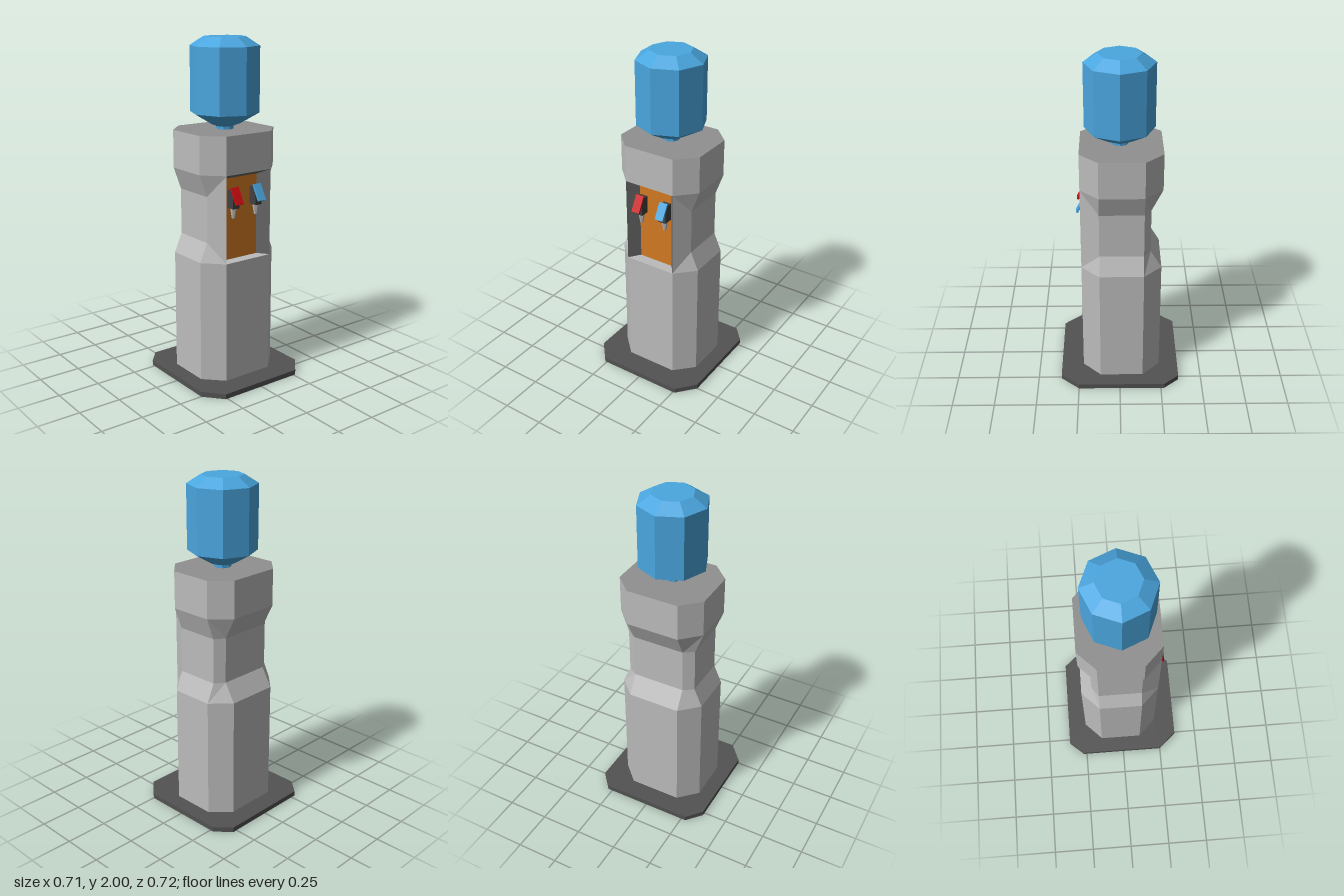
import * as THREE from 'three';

const mat = (name, color, double = false) => {
  const m = new THREE.MeshStandardMaterial({ color, flatShading: true });
  m.name = name;
  if (double) m.side = THREE.DoubleSide;
  return m;
};

// Chamfered rectangle outline, from the front left corner round to the back
const outline = (front, back, side, zf, zsf, zsb, zb) => {
  const half = [[front, zf], [side, zsf], [side, zsb], [back, zb]];
  return [...half, ...half.map(([x, z]) => [-x, z]).reverse()];
};

const fromTriangles = (points) => {
  const g = new THREE.BufferGeometry();
  g.setAttribute('position', new THREE.Float32BufferAttribute(points.flat(), 3));
  g.computeVertexNormals();
  return g;
};

const quad = (a, b, c, d) => fromTriangles([a, b, c, a, c, d]);

export function createModel() {
  const group = new THREE.Group();
  const grey = mat('casing grey', 0xbcbcbc, true);
  const lid = mat('lid grey', 0x909090, true);
  const recess = mat('recess grey', 0x686868, true);
  const orange = mat('panel orange', 0xd27a22, true);
  const blue = mat('bottle blue', 0x4aa6df);
  const red = mat('hot red', 0xcc0c10);
  const dark = mat('tap dark grey', 0x404040);
  const baseMat = mat('base dark grey', 0x525252);

  const add = (name, geometry, material, parent = group) => {
    const m = new THREE.Mesh(geometry, material);
    m.name = name;
    parent.add(m);
    return m;
  };

  // Casing: wide octagon with a waist; the front stays open at the recess
  const wide = outline(0.157, 0.157, 0.263, 0.225, 0.118, -0.14, -0.245);
  const waist = outline(0.157, 0.157, 0.215, 0.225, 0.118, -0.14, -0.18);
  const levels = [[0, wide], [0.75, wide], [0.86, waist], [1.13, waist], [1.26, wide], [1.48, wide]];
  const tris = [];
  for (let k = 0; k < levels.length - 1; k++) {
    const [y0, lo] = levels[k], [y1, hi] = levels[k + 1];
    for (let i = 0; i < 8; i++) {
      if (i === 7 && k > 0 && k < 4) continue;
      const j = (i + 1) % 8;
      const a = [lo[i][0], y0, lo[i][1]], b = [lo[j][0], y0, lo[j][1]];
      const c = [hi[j][0], y1, hi[j][1]], d = [hi[i][0], y1, hi[i][1]];
      // Folds run from the front corners into the waist
      if ((i >= 4) !== (k >= 3)) tris.push(a, b, d, b, c, d);
      else tris.push(a, b, c, a, c, d);
    }
  }
  add('casing', fromTriangles(tris), grey);

  // Lid
  const toShape = (pts) => new THREE.Shape(pts.map(([x, z]) => new THREE.Vector2(x, -z)));
  const lidGeo = new THREE.ShapeGeometry(toShape(wide));
  lidGeo.rotateX(-Math.PI / 2).translate(0, 1.48, 0);
  add('lid', lidGeo, lid);

  // Base plate, open under the casing
  const plate = toShape(outline(0.262, 0.278, 0.356, 0.359, 0.25, -0.27, -0.36));
  plate.holes.push(new THREE.Path(wide.map(([x, z]) => new THREE.Vector2(x, -z))));
  const plateGeo = new THREE.ExtrudeGeometry(plate, { depth: 0.03, bevelEnabled: false });
  plateGeo.rotateX(-Math.PI / 2);
  add('basePlate', plateGeo, baseMat);

  // Recess: sloping walls round a coloured panel
  const F = [[-0.157, 0.75, 0.225], [0.157, 0.75, 0.225], [0.157, 1.26, 0.225], [-0.157, 1.26, 0.225]];
  const B = [[-0.108, 0.75, 0.16], [0.108, 0.75, 0.16], [0.108, 1.23, 0.16], [-0.108, 1.23, 0.16]];
  ['recessFloor', 'recessLeftWall', 'recessCeiling', 'recessRightWall'].forEach((name, i) => {
    const j = (i + 1) % 4;
    add(name, quad(F[i], F[j], B[j], B[i]), i === 0 ? grey : recess);
  });
  add('recessPanel', quad(...B), orange);

  // Taps: block, spout and tilted lever
  const profile = new THREE.Shape([[0.16, 1.06], [0.215, 1.06], [0.215, 1.12], [0.19, 1.165], [0.16, 1.165]]
    .map(([z, y]) => new THREE.Vector2(-z, y)));
  for (const [name, x, colour] of [['hotTap', -0.08, red], ['coldTap', 0.08, blue]]) {
    const tap = new THREE.Group();
    tap.name = name;
    tap.position.x = x;
    const block = new THREE.ExtrudeGeometry(profile, { depth: 0.046, bevelEnabled: false });
    block.translate(0, 0, -0.023).rotateY(Math.PI / 2);
    add('tapBlock', block, dark, tap);
    add('spout', new THREE.CylinderGeometry(0.019, 0.009, 0.06, 6), grey, tap).position.set(0, 1.03, 0.187);
    const lever = add('lever', new THREE.BoxGeometry(0.052, 0.102, 0.012), colour, tap);
    lever.position.set(0, 1.134, 0.22);
    lever.rotation.x = -0.51;
    group.add(tap);
  }

  // Water bottle, upside down on its neck
  const bottle = [[0.05, 1.48], [0.05, 1.497], [0.09, 1.512], [0.2, 1.576], [0.2, 1.95], [0.121, 2], [0, 2]]
    .map(([r, y]) => new THREE.Vector2(r, y));
  add('bottle', new THREE.LatheGeometry(bottle, 8), blue).position.z = -0.002;

  return group;
}
